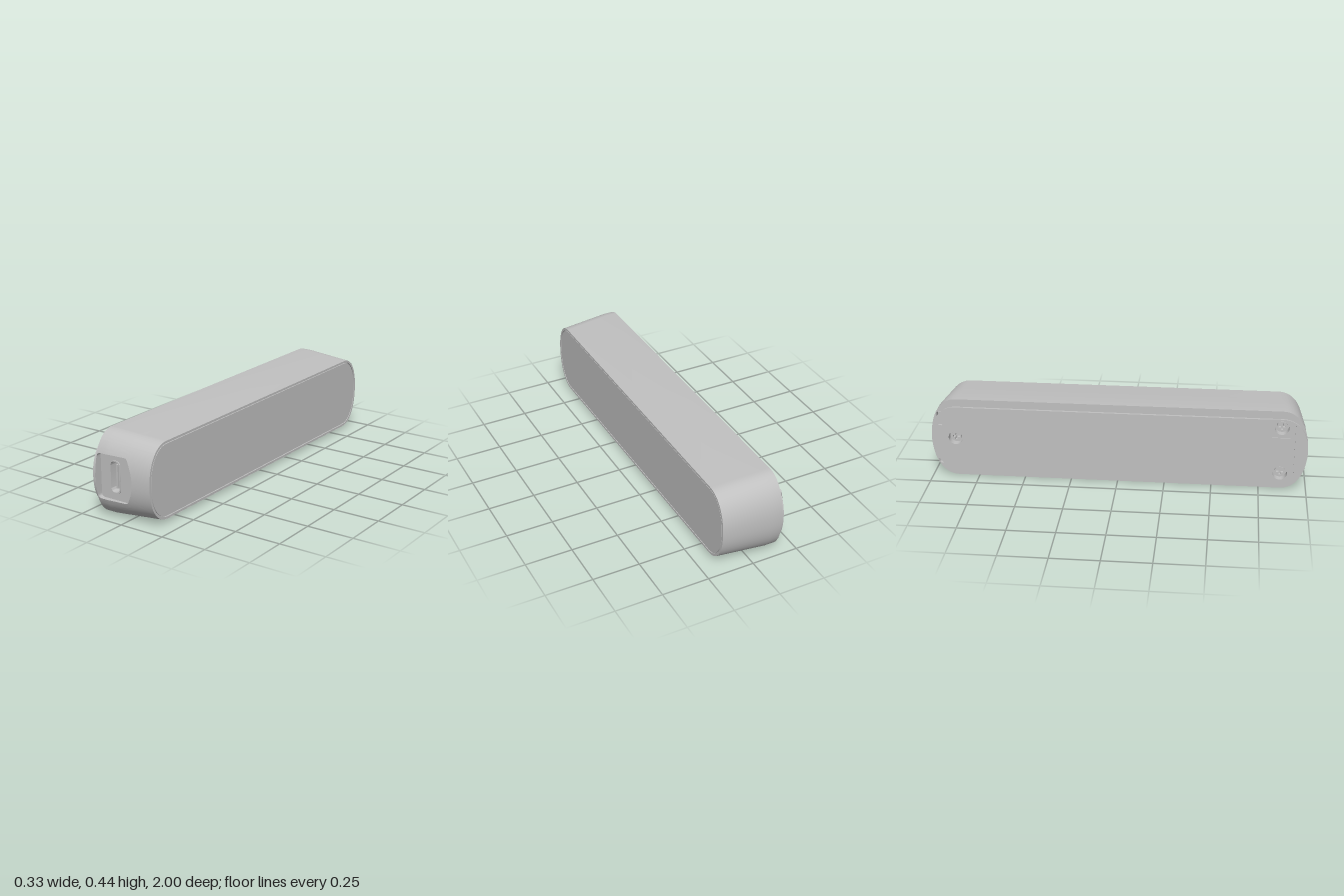
import * as THREE from 'three';
import { toCreasedNormals } from 'three/addons/utils/BufferGeometryUtils.js';

const MID = 0.22, R = 0.14, POW = 2 / 2.2, X0 = -0.153, X1 = 0.165, FLOOR = 0.958;
const taper = x => Math.max(0, (x + 0.1) / 0.265);
const halfH = x => 0.22 - 0.02 * taper(x);
const halfL = x => 1 - 0.02 * taper(x);

// Long slot-like outline with bulging ends, as [z, height from the middle]
function outline(L, H, r = R, start = 0) {
  const pts = [], n = 16;
  const arc = (from, to, sign) => {
    for (let i = 0; i <= n; i++) {
      const a = from + (to - from) * i / n;
      const c = Math.pow(Math.abs(Math.cos(a)), POW), s = Math.pow(Math.abs(Math.sin(a)), POW);
      pts.push([sign * (L - r + r * c), H * s * (Math.sin(a) < -1e-9 ? -1 : 1)]);
    }
  };
  const q = Math.PI / 2;
  arc(start, q, 1);
  arc(q, 2 * q, -1);
  arc(2 * q, 3 * q, -1);
  arc(3 * q, 4 * q - start, 1);
  return pts;
}

const toShape = pts => new THREE.Shape(pts.map(p => new THREE.Vector2(p[0], p[1])));
const circle = (x, y, r) => new THREE.Shape().absarc(x, y, r, 0, Math.PI * 2);

function roundRect(x0, y0, x1, y1, r) {
  const s = new THREE.Shape();
  s.absarc(x1 - r, y1 - r, r, 0, Math.PI / 2);
  s.absarc(x0 + r, y1 - r, r, Math.PI / 2, Math.PI);
  s.absarc(x0 + r, y0 + r, r, Math.PI, Math.PI * 1.5);
  s.absarc(x1 - r, y0 + r, r, Math.PI * 1.5, Math.PI * 2);
  s.closePath();
  return s;
}

function withHoles(shape, holes) {
  shape.holes.push(...holes);
  return shape;
}

// Surface joining rows of points
function loft(rows, closed) {
  const n = rows[0].length, index = [];
  for (let j = 0; j < rows.length - 1; j++) {
    for (let i = 0; i < (closed ? n : n - 1); i++) {
      const k = (i + 1) % n, a = j * n + i, b = a + n, c = (j + 1) * n + k, d = j * n + k;
      index.push(a, b, c, a, c, d);
    }
  }
  const g = new THREE.BufferGeometry();
  g.setAttribute('position', new THREE.Float32BufferAttribute(rows.flat(2), 3));
  g.setIndex(index);
  return toCreasedNormals(g, 0.6);
}

const extrude = (shape, depth) => toCreasedNormals(
  new THREE.ExtrudeGeometry(shape, { depth, bevelEnabled: false, curveSegments: 16 }), 0.6);

export function createModel() {
  const model = new THREE.Group();
  const grey = new THREE.MeshStandardMaterial({ color: 0xc0c0c0, side: THREE.DoubleSide });
  grey.name = 'grey plastic';
  const add = (name, geometry) => {
    const m = new THREE.Mesh(geometry, grey);
    m.name = name;
    model.add(m);
    return m;
  };
  // Shapes drawn in (z, height), facing -x or +x; x is the inner face
  const onBack = (name, g, x) => add(name, g.rotateY(-Math.PI / 2).translate(x, MID, 0));
  const onFace = (name, g, x) => add(name, g.rotateY(Math.PI / 2).translate(x, MID, 0));

  // Tapered shell, left open at the middle of the front end
  const T = 0.8, start = Math.asin(Math.pow(T, 1 / POW));
  const xs = [X0, -0.1, 0.03, X1];
  add('shell', loft(xs.map(x =>
    outline(halfL(x), halfH(x), R, start).map(([z, v]) => [x, MID + v, z])), false));

  // Front end with a recess: rings from the recess outline to the shell
  const surface = (x, t) => [x, MID + t * halfH(x),
    halfL(x) - R + R * Math.pow(1 - Math.pow(Math.abs(t), 2.2), 1 / 2.2)];
  const recess = new THREE.Shape();
  recess.moveTo(-0.13, 0.102);
  recess.lineTo(0.01, 0.102);
  recess.quadraticCurveTo(0.024, 0.102, 0.036, 0.127);
  recess.quadraticCurveTo(0.09, 0.22, 0.036, 0.313);
  recess.quadraticCurveTo(0.024, 0.338, 0.01, 0.338);
  recess.lineTo(-0.13, 0.338);
  recess.quadraticCurveTo(-0.151, 0.338, -0.151, 0.317);
  recess.lineTo(-0.151, 0.123);
  recess.quadraticCurveTo(-0.151, 0.102, -0.13, 0.102);
  const rim = recess.getSpacedPoints(120).slice(0, -1);
  const inner = rim.map(p => [p.x, (p.y - MID) / halfH(p.x)]);
  const cx = -0.045;
  const outer = inner.map(([x, t]) => {
    const dx = x - cx;
    const k = Math.min(T / Math.max(Math.abs(t), 1e-6),
      (dx > 0 ? X1 - cx : cx - X0) / Math.max(Math.abs(dx), 1e-6));
    return [cx + dx * k, t * k];
  });
  for (const c of [[X0, -T], [X0, T], [X1, -T], [X1, T]]) {
    let best = 0;
    const dist = i => Math.hypot(outer[i][0] - c[0], outer[i][1] - c[1]);
    outer.forEach((_, i) => { if (dist(i) < dist(best)) best = i; });
    outer[best] = c;
  }
  const rows = [rim.map(p => [p.x, p.y, FLOOR])];
  for (let j = 0; j <= 8; j++) {
    rows.push(inner.map(([x, t], i) =>
      surface(x + (outer[i][0] - x) * j / 8, t + (outer[i][1] - t) * j / 8)));
  }
  add('frontEnd', loft(rows, true));

  // Socket in the recess
  const port = () => roundRect(-0.086, 0.143, -0.034, 0.301, 0.022);
  add('recessFloor', new THREE.ShapeGeometry(withHoles(toShape(rim.map(p => [p.x, p.y])), [port()])))
    .position.z = FLOOR;
  add('socketLip', extrude(withHoles(roundRect(-0.092, 0.137, -0.028, 0.307, 0.026), [port()]), 0.065))
    .position.z = FLOOR - 0.06;
  add('socketFloor', new THREE.ShapeGeometry(port())).position.z = FLOOR - 0.06;
  add('socketTongue', new THREE.BoxGeometry(0.011, 0.122, 0.05).translate(-0.06, MID, FLOOR - 0.035));

  // Large flat face: rim, groove and flush panel
  const L1 = halfL(X1), H1 = halfH(X1);
  const inset = d => toShape(outline(L1 - d, H1 - d, R - d));
  onFace('faceRim', extrude(withHoles(inset(0.0005), [inset(0.012)]), 0.008), X1 - 0.008);
  onFace('grooveFloor', new THREE.ShapeGeometry(inset(0.002)), X1 - 0.008);
  onFace('facePanel', extrude(inset(0.016), 0.007), X1 - 0.008);

  // Screw wells and clip slots in the mounting side
  const screws = [[0.86, 0.13], [0.86, -0.13], [-0.87, 0]];
  const slot = (s, grow = 0) => roundRect(-0.966 - grow, s * 0.11 - 0.04 - grow,
    -0.934 + grow, s * 0.11 + 0.04 + grow, 0.01);
  const holes = () => [...screws.map(([z, v]) => circle(z, v, 0.038)), slot(1), slot(-1)];
  onBack('mountingFace', new THREE.ShapeGeometry(withHoles(toShape(outline(1, 0.22)), holes()), 16), X0);
  onBack('basePlate', extrude(withHoles(toShape(outline(0.999, 0.178)), holes()), 0.009), X0);

  for (const [z, v] of screws) {
    onBack('screwWell', extrude(withHoles(circle(z, v, 0.041), [circle(z, v, 0.038)]), 0.03), X0 + 0.03);
    onBack('screwWellFloor', new THREE.CircleGeometry(0.04, 24).translate(z, v, 0), X0 + 0.03);
    const a = 0.005, b = 0.018;
    const cross = toShape([[a, a], [b, a], [b, -a], [a, -a], [a, -b], [-a, -b],
      [-a, -a], [-b, -a], [-b, a], [-a, a], [-a, b], [a, b]]);
    onBack('screwHead', extrude(withHoles(circle(0, 0, 0.027), [cross]), 0.018).translate(z, v, 0), X0 + 0.03);
  }
  for (const s of [1, -1]) {
    onBack('clipSlot', extrude(withHoles(slot(s, 0.002), [slot(s)]), 0.02), X0 + 0.02);
    onBack('clipSlotFloor', new THREE.ShapeGeometry(slot(s)), X0 + 0.02);
  }

  // Raised centre panel, notched around the screws, and the front flange
  const P = 0.178;
  onBack('centrePanel', extrude(toShape([[-0.82, -P], [0.8, -P], [0.81, -0.075], [0.915, -0.075],
    [0.915, 0.075], [0.81, 0.075], [0.8, P], [-0.82, P]]), 0.006), X0 - 0.008);
  const tip = outline(1, 0.18).filter(p => p[0] > 0.925).sort((p, q) => p[1] - q[1]);
  onBack('frontFlange', extrude(toShape(tip.filter((p, i) => !i || p[1] - tip[i - 1][1] > 1e-5)), 0.013), X0 - 0.001);

  return model;
}
